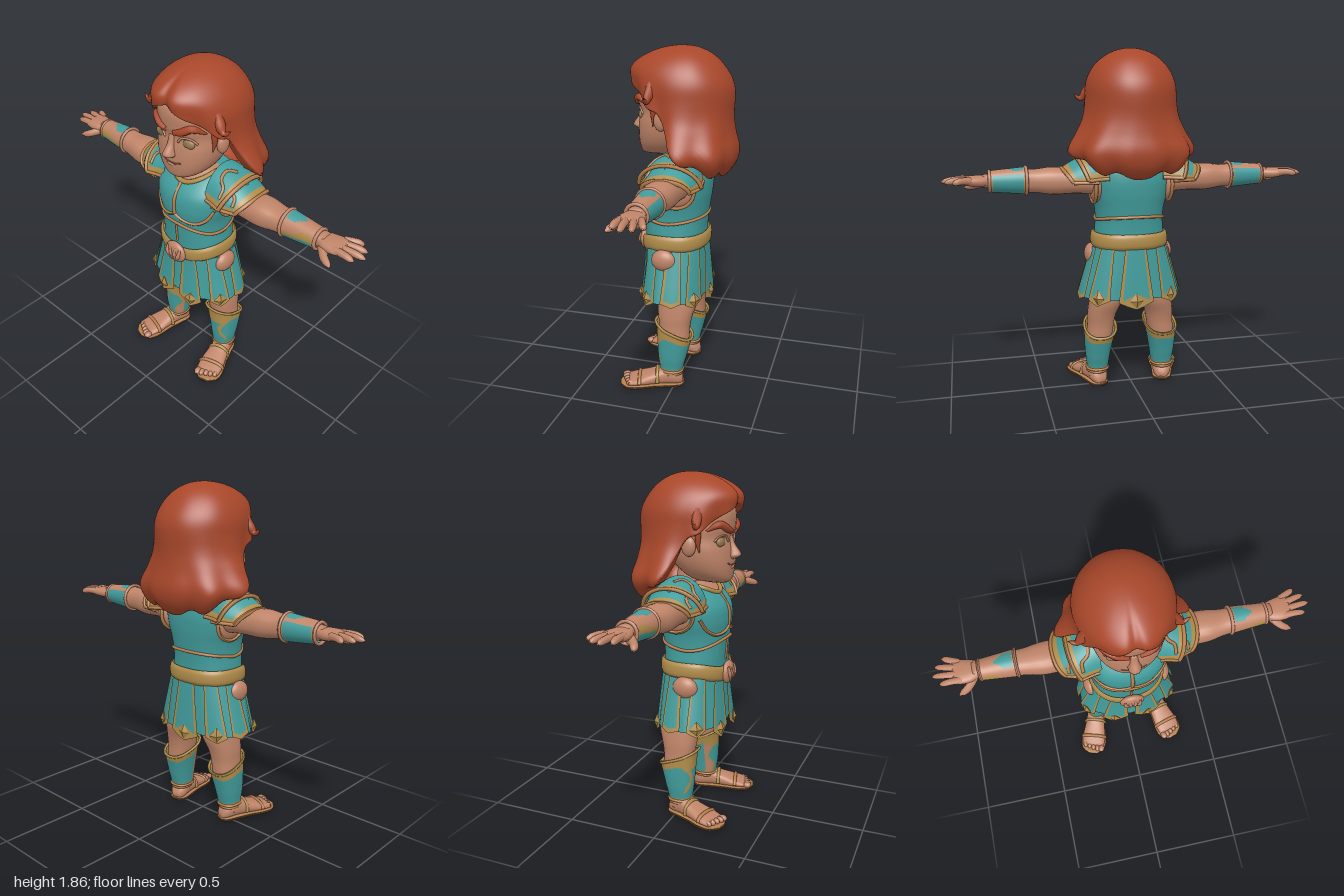
import * as THREE from 'three';

const mat = (name, color) => new THREE.MeshStandardMaterial({ name, color, side: THREE.DoubleSide });
const teal = mat('teal armour', 0x429c9c), gold = mat('gold trim', 0xb08c4a), skin = mat('skin', 0xbf8468);
const hair = mat('red hair', 0xa8472a), copper = mat('copper line', 0xb8804c), sole = mat('dark sole', 0x5c4230);
const eye = mat('eye', 0x9c7c56), iris = mat('olive iris', 0x84754c), lip = mat('lip', 0xa0644c);

const V = (x, y, z) => new THREE.Vector3(x, y, z);
const lerp = THREE.MathUtils.lerp, clamp = THREE.MathUtils.clamp, PI = Math.PI;
const bend = (s, p = 0.85) => Math.sign(s) * Math.abs(s) ** p;

// Smoothly interpolates rows of [key, ...values] at a key
function at(rows, y) {
  const n = rows.length;
  let i = 0;
  while (i < n - 2 && y > rows[i + 1][0]) i++;
  const slope = (k, c) => {
    const p = rows[Math.max(k - 1, 0)], q = rows[Math.min(k + 1, n - 1)];
    return (q[c] - p[c]) / (q[0] - p[0]);
  };
  const a = rows[i], b = rows[i + 1], h = b[0] - a[0], t = clamp((y - a[0]) / h, 0, 1), t2 = t * t, t3 = t2 * t;
  return a.slice(1).map((_, k) => (2 * t3 - 3 * t2 + 1) * a[k + 1] + (t3 - 2 * t2 + t) * h * slope(i, k + 1)
    + (3 * t2 - 2 * t3) * b[k + 1] + (t3 - t2) * h * slope(i + 1, k + 1));
}

// Point on a body of rows [y, halfWidth, zFront, zBack, xCentre], at angle a from the front
function surf(rows, y, a, off = 0) {
  const [w, f, b, cx = 0] = at(rows, y);
  return V(cx + (w + off) * bend(Math.sin(a)), y, (f + b) / 2 + ((f - b) / 2 + off) * bend(Math.cos(a)));
}
function onFront(rows, x, y, off = 0) {
  const [w] = at(rows, y);
  return surf(rows, y, Math.sign(x) * Math.asin(Math.min(1, (Math.abs(x) / w) ** (1 / 0.85))), off);
}

// Surface grid; pick(u, v) chooses a material index for each cell
function grid(nu, nv, fn, closed = true, pick = null) {
  const pos = [], sets = [], cols = closed ? nu : nu + 1;
  for (let j = 0; j <= nv; j++) for (let i = 0; i < cols; i++) pos.push(...fn(i / nu, j / nv).toArray());
  for (let j = 0; j < nv; j++) for (let i = 0; i < nu; i++) {
    const a = j * cols + i, b = j * cols + (i + 1) % cols, c = a + cols, d = b + cols;
    const m = pick ? pick((i + 0.5) / nu, (j + 0.5) / nv) : 0;
    (sets[m] ??= []).push(a, b, d, a, d, c);
  }
  const g = new THREE.BufferGeometry(), index = [];
  g.setAttribute('position', new THREE.Float32BufferAttribute(pos, 3));
  sets.forEach((s, m) => { if (pick) g.addGroup(index.length, s.length, m); for (const k of s) index.push(k); });
  g.setIndex(index);
  g.computeVertexNormals();
  return g;
}

// Closed body through the rows; pick(a, y) chooses a material index
function column(rows, nu = 32, nv = 30, pick = null) {
  const y0 = rows[0][0], y1 = rows[rows.length - 1][0];
  const level = v => lerp(y0, y1, clamp((v * nv - 1) / (nv - 2), 0, 1));
  return grid(nu, nv, (u, v) => {
    const p = surf(rows, level(v), u * 2 * PI);
    return v === 0 || v === 1 ? p.lerp(surf(rows, level(v), u * 2 * PI + PI), 0.5) : p;
  }, true, pick && ((u, v) => pick(u * 2 * PI, level(v))));
}

// Tapered round strand along a curve
function strand(pts, radii, n = 16) {
  const c = new THREE.CatmullRomCurve3(pts.map(p => p.isVector3 ? p : V(...p))), f = c.computeFrenetFrames(n);
  return grid(8, n, (u, v) => {
    const k = Math.round(v * n), q = v * (radii.length - 1), i = Math.min(Math.floor(q), radii.length - 2);
    const r = lerp(radii[i], radii[i + 1], q - i), a = -u * 2 * PI;
    return c.getPointAt(v).addScaledVector(f.normals[k], r * Math.cos(a)).addScaledVector(f.binormals[k], -r * Math.sin(a));
  });
}
const wire = (pts, r, closed = false) => new THREE.TubeGeometry(new THREE.CatmullRomCurve3(pts, closed), pts.length * 5, r, 6, closed);
const ball = (x, y, z, a, b, c) => new THREE.SphereGeometry(1, 24, 16).scale(a, b, c).translate(x, y, z);
const loop = (n, fn) => Array.from({ length: n }, (_, i) => fn(i / n * 2 * PI));

const head = [[1.29, .03, .205, .1], [1.303, .08, .226, .04], [1.34, .13, .236, -.02], [1.4, .165, .241, -.08], [1.47, .18, .237, -.12],
  [1.53, .18, .228, -.15], [1.58, .18, .24, -.16], [1.68, .165, .235, -.16], [1.78, .1, .15, -.1]];
const torso = [[.78, .195, .2, -.125], [.88, .19, .205, -.125], [.95, .185, .21, -.13], [1.02, .192, .216, -.14], [1.1, .212, .224, -.152],
  [1.18, .218, .21, -.155], [1.25, .19, .15, -.14], [1.3, .12, .085, -.1]];
const skirt = [[.44, .295, .222, -.145], [.52, .28, .212, -.14], [.7, .232, .2, -.132], [.84, .195, .2, -.125]];
const leg = [[.05, .048, .07, -.035, .195], [.1, .05, .075, -.035, .188], [.18, .06, .085, -.055, .187], [.28, .07, .09, -.076, .18],
  [.36, .073, .092, -.08, .17], [.42, .078, .1, -.092, .163], [.5, .09, .11, -.115, .14], [.64, .098, .12, -.115, .11]];
const mane = [[1.18, .21, .1, .21], [1.25, .29, .1, .265], [1.33, .335, .12, .285], [1.42, .295, .2, .27], [1.5, .26, .24, .263],
  [1.6, .245, .26, .268], [1.68, .245, .285, .265], [1.76, .245, .34, .255], [1.86, .245, .34, .255]];
const hairline = [[0, 1.705], [.35, 1.675], [.7, 1.62], [1, 1.57], [1.25, 1.53], [1.5, 1.4], [1.8, 1.31], [2.2, 1.25], [2.6, 1.215], [PI, 1.2]];

export function createModel() {
  const model = new THREE.Group();
  model.name = 'warrior';
  const put = (name, geo, m) => { const o = new THREE.Mesh(geo, m); o.name = name; model.add(o); };
  // Adds the left part and its mirror image
  const pair = (name, geo, m) => {
    put('left ' + name, geo, m);
    const g = geo.clone().scale(-1, 1, 1), ix = g.index.array;
    for (let i = 0; i < ix.length; i += 3) [ix[i], ix[i + 1]] = [ix[i + 1], ix[i]];
    g.computeVertexNormals();
    put('right ' + name, g, m);
  };

  // Head and face
  put('head', column(head, 40, 40), skin);
  put('neck', new THREE.CylinderGeometry(.075, .1, .17, 24).translate(0, 1.285, .01), skin);
  put('nose', column([[1.418, .018, .25, .2], [1.434, .033, .282, .2], [1.452, .027, .28, .2], [1.49, .02, .252, .2], [1.54, .02, .232, .19]], 16, 16), skin);
  pair('ear', ball(.194, 1.495, .07, .024, .052, .038), skin);
  const e = onFront(head, .085, 1.512);
  pair('eye', ball(e.x, e.y, e.z - .014, .042, .03, .019), eye);
  pair('iris', ball(e.x - .003, e.y, e.z - .002, .02, .021, .009), iris);
  pair('eyelid', wire([.042, .06, .088, .115, .132].map((x, i) => onFront(head, x, 1.512 + [0, .025, .032, .023, .003][i], .002)), .006), skin);
  pair('eyebrow', strand([[.026, 1.563], [.07, 1.578], [.115, 1.603], [.16, 1.57]].map(([x, y]) => onFront(head, x, y, .002)), [.014, .021, .019, .004]), hair);
  put('mouth', wire([[-.065, 1.402], [-.035, 1.391], [0, 1.389], [.035, 1.391], [.065, 1.402]].map(([x, y]) => onFront(head, x, y, -.001)), .004), lip);
  put('lower lip', ball(0, 1.376, .233, .032, .01, .013), skin);

  // Hair: a parted cap with an arched hairline that falls into waves at the back
  put('hair', grid(120, 44, (u, v) => {
    const a = u > .5 ? (u - 1) * 2 * PI : u * 2 * PI, t = Math.min(v / .9, 1), fold = Math.max(0, (v - .9) / .1);
    const low = at(hairline, Math.abs(a))[0] + .016 * Math.cos(9 * a) * Math.min(1, Math.abs(a) / 2);
    const y = 1.86 - (1.86 - low) * (1 - Math.cos(t * PI / 2)) ** .9;
    const [w, f, b] = at(mane, y), q = clamp((y - 1.62) / .24, 0, 1), back = Math.cos(a) < 0;
    let r = Math.sqrt(Math.max(0, 1 - q * q)) * (1 - .3 * fold);
    r *= 1 - .09 * Math.exp(-((a / .15) ** 2)) * Math.min(1, t * 2) + (.012 * t - .065 * t ** 4) * Math.cos(9 * a) * Math.min(1, Math.abs(a));
    const square = back ? lerp(.65, 1, clamp((y - 1.3) / .25, 0, 1)) : 1;
    return V(r * w * bend(Math.sin(a), square), y + .02 * fold, r * (back ? b : f) * Math.cos(a));
  }), hair);
  pair('hair flick', strand([[.15, 1.76, .11], [.205, 1.65, .12], [.25, 1.597, .13], [.285, 1.622, .125]], [.02, .028, .026, .002]), hair);
  pair('sideburn', strand([[.17, 1.6, .11], [.18, 1.55, .115], [.178, 1.5, .115], [.172, 1.46, .12]], [.018, .018, .012, .002]), hair);

  // Breastplate with a scooped neck and raised lines
  const scoop = x => 1.238 + 3.5 * x * x;
  put('breastplate', column(torso, 64, 60, (a, y) => {
    const p = surf(torso, y, a);
    return Math.cos(a) > 0 && y > scoop(p.x) ? 1 : 0;
  }), [teal, skin]);
  put('collar', wire([-.125, -.09, -.045, 0, .045, .09, .125].map(x => onFront(torso, x, scoop(x), .002)), .013), gold);
  const line = (pts, r = .009) => wire(pts.map(([x, y]) => onFront(torso, x, y, .002)), r);
  put('chest centre line', line([[0, 1.235], [0, 1.15], [0, 1.06]], .01), copper);
  pair('chest curve', line([[0, 1.06], [.05, 1.035], [.12, 1.03], [.165, 1.06], [.195, 1.12]]), copper);
  put('stomach line', line([[0, .99], [0, .93], [0, .87]], .007), copper);
  put('waist line', wire(loop(28, a => surf(torso, .945 + .05 * Math.max(0, Math.cos(a)) ** 2 + .03 * Math.max(0, -Math.cos(a)), a, .002)), .009, true), copper);
  pair('armpit', ball(.195, 1.14, -.005, .035, .095, .1), skin);
  pair('armhole rim', wire(loop(18, a => V(.208, 1.14 + .095 * Math.cos(a), -.005 + .105 * Math.sin(a))), .01, true), copper);

  // Belt dipping towards the buckle
  put('belt', grid(48, 8, (u, v) => {
    const a = u * 2 * PI, y = .795 + .085 * v - .04 * Math.max(0, Math.cos(a)) ** 3;
    return surf(torso, y, a, .008 + .014 * Math.sin(v * PI) ** .4);
  }), gold);
  put('buckle', ball(0, .798, .222, .07, .064, .028), skin);
  for (const x of [-.04, -.014, .014, .04]) put('buckle ridge', strand([[x * .4, .752, .24], [x, .8, .245], [x * 1.1, .838, .238]], [.006, .013, .006]), skin);
  pair('hip ornament', ball(.208, .748, .055, .042, .06, .07), skin);

  // Skirt with overlapping trimmed tabs
  put('skirt', grid(96, 10, (u, v) => {
    const a = u * 2 * PI;
    return surf(skirt, lerp(.84, .52, v), a, .004 * v * Math.cos(14 * a));
  }), teal);
  put('skirt lining', new THREE.CylinderGeometry(.19, .2, .16, 32).scale(1, 1, .75).translate(0, .66, .035), teal);
  const tab = (a0, wide, end, tip) => {
    const place = (u, v, off) => surf(skirt, lerp(.8, end + Math.abs(2 * u - 1) * tip, v), a0 + (u - .5) * wide * (.8 + .2 * v), off);
    const g = grid(24, 24, (u, v) => place(u, v, .008 + .006 * v), false,
      (u, v) => u < .125 || u > .875 || v > .93 || (tip > .02 && v > .76 + .5 * Math.abs(u - .5)) ? 1 : 0);
    const c = place(.5, .86, .014), dir = Math.atan2(c.x / .28, (c.z - .035) / .18);
    const d = new THREE.OctahedronGeometry(1).scale(.038, .046, .018).rotateY(dir).translate(c.x, c.y, c.z);
    d.setIndex([...Array(d.attributes.position.count).keys()]);
    return [g, d];
  };
  for (const [a, w, end, tip] of [[.29, .5, .455, .05], [1.05, .55, .495, .03], [1.75, .5, .51, .02], [2.42, .55, .49, .03]]) {
    const [g, d] = tab(a, w, end, tip);
    pair('skirt tab', g, [teal, gold]);
    if (a !== 1.75) pair('tab diamond', d, gold);
  }
  const [backTab, backDiamond] = tab(PI, .55, .47, .04);
  put('back tab', backTab, [teal, gold]);
  put('back diamond', backDiamond, gold);

  // Shoulder guards: two overlapping sloping shells with rims
  const guard = (x0, x1, h0, h1, r0, r1, span) => (u, v) => {
    const a = (u - .5) * 2 * span, k = Math.sin(v * PI / 2);
    return V(lerp(x0, x1, v) - .05 * v * (1 - Math.cos(a)), 1.165 + lerp(h0, h1, v ** 1.5) * Math.cos(a), .005 - lerp(r0, r1, k * v) * Math.sin(a));
  };
  const rimmed = (u, v) => u < .08 || u > .92 || v > .84 ? 1 : 0;
  [['upper guard', guard(.145, .3, .172, .128, .15, .168, 1.45)], ['lower guard', guard(.2, .378, .15, .07, .155, .125, 1.55)]].forEach(([name, fn]) => {
    pair(name, grid(36, 16, fn, false, rimmed), [teal, gold]);
    const edge = [];
    for (let i = 0; i <= 16; i++) edge.push(fn(i / 16, 1));
    pair(name + ' rim', wire(edge, .011), copper);
    for (const u of [0, 1]) pair(name + ' end', wire([0, .25, .5, .75, 1].map(v => fn(u, v)), .01), copper);
    pair(name + ' swirl', wire([[.12, .75], [.24, .65], [.3, .4], [.42, .35], [.5, .6]].map(([u, v]) => fn(u, v)), .009), copper);
  });

  // Arms, bracers and hands
  const along = (rows, nu, nv) => column(rows, nu, nv).rotateZ(-PI / 2);
  pair('arm', along([[.16, .08, .085, -.085, -1.165], [.3, .068, .09, -.08, -1.165], [.43, .073, .094, -.076, -1.168], [.52, .062, .078, -.062, -1.17],
    [.6, .062, .07, -.06, -1.172], [.7, .045, .055, -.048, -1.175], [.79, .033, .046, -.044, -1.178]], 24, 32), skin);
  pair('bracer', grid(40, 24, (u, v) => {
    const a = u * 2 * PI, r = lerp(.073, .056, v);
    return V(lerp(.565, .755, v), 1.174 + r * Math.cos(a), .006 + r * Math.sin(a));
  }, true, (u, v) => {
    if (v < .07 || v > .93) return u < .25 || u > .8 ? 2 : 1;
    if (u < .1 || u > .9) return v > .1 && v < .62 - 3 * Math.min(u, 1 - u) ? 0 : 2;
    if (u < .21 + .05 * Math.sin(v * 6)) return 2;
    if (u < .32 - .06 * v) return 1;
    return u < .84 ? 0 : 2;
  }), [teal, gold, skin]);
  for (const [x, r] of [[.565, .072], [.755, .053]])
    pair('bracer cuff', new THREE.TorusGeometry(r, .009, 8, 28).rotateY(PI / 2).translate(x, 1.174, .006), skin);
  pair('palm', along([[.75, .028, .04, -.04, -1.18], [.8, .03, .062, -.058, -1.178], [.85, .027, .066, -.068, -1.18], [.89, .018, .06, -.07, -1.182]], 20, 16), skin);
  for (const [z0, x, z] of [[-.052, .94, -.088], [-.02, .98, -.05], [.012, .998, -.003], [.042, .965, .045]])
    pair('finger', strand([[.85, 1.184, z0], [lerp(.85, x, .55), 1.187, lerp(z0, z, .6)], [x - .008, 1.18, z], [x, 1.179, z]], [.02, .02, .019, .019, .018, .018, .017, .014, .004]), skin);
  pair('thumb', strand([[.79, 1.165, .035], [.83, 1.148, .08], [.87, 1.135, .1], [.882, 1.132, .106]], [.024, .024, .022, .021, .018, .004]), skin);

  // Legs and greaves
  pair('leg', column(leg, 28, 36), skin);
  const greave = (u, v) => {
    const a = u * 2 * PI, y = lerp(.095, .34 + .045 * Math.cos(a), v);
    return surf(leg, y, a, .009 + .008 * v ** 4);
  };
  pair('greave', grid(64, 32, greave, true, (u, v) => {
    const a = u > .5 ? u - 1 : u, s = .05 * Math.sin(v * 10), d = Math.abs(a);
    if (v > .8 + .2 * Math.max(0, d - .3) || v < .07) return 1;
    if (v > .66 && d < .2 - (.8 - v) * .8) return 1;
    if (v > .2 && Math.abs(a - .1 - s) < .025) return 1;
    return a > -.2 && a < -.1 + s ? (a > -.13 + s ? 1 : 2) : 0;
  }), [teal, gold, skin]);
  for (const [v, m] of [[1, gold], [0, copper]])
    pair('greave rim', wire(loop(20, a => greave(a / (2 * PI), v)), .008, true), m);

  // Sandalled feet turned outwards
  const turn = g => g.rotateY(.28).translate(.187, 0, 0);
  const foot = [[-.045, .025, -.012, -.05], [-.02, .048, -.01, -.09], [.05, .054, -.01, -.115], [.12, .062, -.01, -.088], [.2, .073, -.01, -.062], [.26, .068, -.01, -.045]];
  pair('foot', turn(column(foot, 24, 24).rotateX(PI / 2)), skin);
  const print = [[-.05, .02], [-.03, .048], [.04, .057], [.12, .064], [.21, .08], [.275, .07], [.308, .025]];
  for (const [name, low, high, m] of [['sole', 0, .009, sole], ['sandal edge', .008, .02, copper]])
    pair(name, turn(column(print.map(([z, w]) => [z, w, -low, -high]), 24, 24).rotateX(PI / 2)), m);
  [-.053, -.028, -.002, .024, .05].forEach((x, i) => pair('toe', turn(ball(x, .029, .28 - i * .008 - (i === 0 ? .006 : 0), i ? .015 : .02, .017, .025)), skin));
  for (const [z, m] of [[.1, gold], [.2, copper]]) {
    const [w, , b] = at(foot, z);
    pair('sandal strap', turn(strand([-1.5, -.9, -.3, .3, .9, 1.5].map(a => V((w + .002) * bend(Math.sin(a)), .026 + (-b - .026) * bend(Math.cos(a)), z)), [.01, .01])), m);
  }
  pair('ankle strap', wire(loop(16, a => V(.19 + .052 * Math.sin(a), .08, .018 + .056 * Math.cos(a))), .009, true), copper);
  return model;
}
